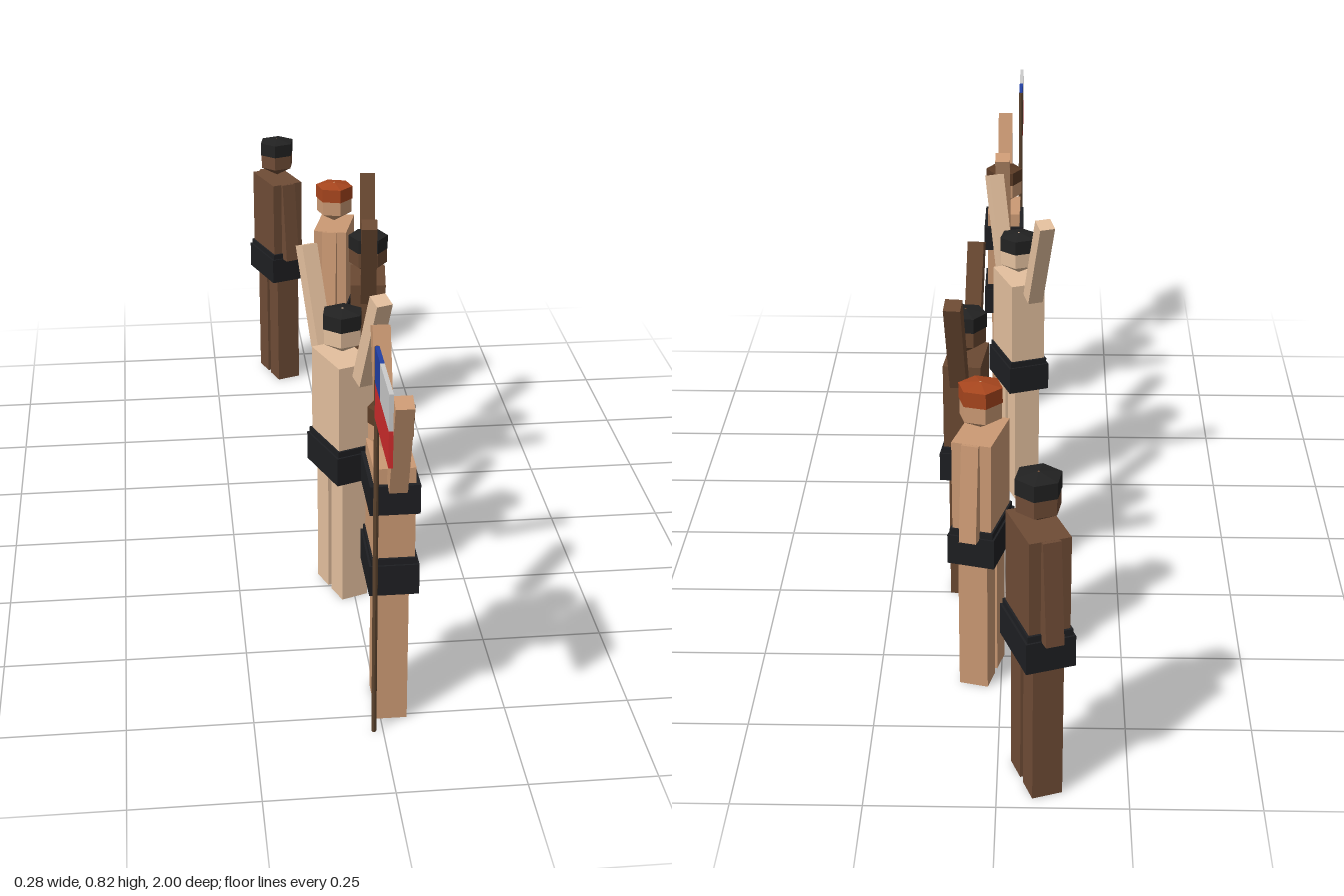
import * as THREE from 'three';

const mat = (color) => new THREE.MeshStandardMaterial({ color, flatShading: true });
const DARK = mat(0x1e1f22);

function add(parent, name, geometry, material, x = 0, y = 0, z = 0) {
  const mesh = new THREE.Mesh(geometry, material);
  mesh.name = name;
  mesh.position.set(x, y, z);
  parent.add(mesh);
  return mesh;
}

// Box given by depth (x), width (z) and its bottom and top heights
function slab(parent, name, material, depth, width, y0, y1, z = 0, x = 0) {
  return add(parent, name, new THREE.BoxGeometry(depth, y1 - y0, width), material, x, (y0 + y1) / 2, z);
}

// One blocky figure, shoulders along its local z axis
function makeFigure({ name, x, z, turn, skin, hair, armsUp, chestBand }) {
  const figure = new THREE.Group();
  figure.name = name;
  figure.position.set(x, 0, z);
  figure.rotation.y = THREE.MathUtils.degToRad(turn);
  const skinMat = mat(skin);

  slab(figure, 'torso', skinMat, 0.08, 0.13, 0.3, 0.558);
  slab(figure, 'shorts', DARK, 0.096, 0.148, 0.291, 0.355);
  slab(figure, 'waistband', DARK, 0.088, 0.14, 0.355, 0.368);
  if (chestBand) slab(figure, 'chestBand', DARK, 0.096, 0.148, 0.465, 0.526);

  for (const side of [-1, 1]) {
    slab(figure, 'leg', skinMat, 0.06, 0.053, 0, 0.3, side * 0.0345);
    // Arms are either raised outward or hanging with a slight flare
    const length = armsUp ? 0.22 : 0.205;
    const arm = add(figure, 'arm', new THREE.BoxGeometry(0.035, length, 0.035), skinMat,
      0, armsUp ? 0.642 : 0.455, side * (armsUp ? 0.135 : 0.067));
    arm.rotation.x = side * THREE.MathUtils.degToRad(armsUp ? 20 : -6);
  }

  // Six-sided head with a flat cap of hair
  add(figure, 'head', new THREE.SphereGeometry(0.05, 6, 3), skinMat, 0, 0.615, 0);
  const profile = [[0, 0.624], [0.045, 0.624], [0.045, 0.656], [0, 0.664]]
    .map(([r, y]) => new THREE.Vector2(r, y));
  add(figure, 'hair', new THREE.LatheGeometry(profile, 6, Math.PI / 6), mat(hair));
  return figure;
}

export function createModel() {
  const model = new THREE.Group();
  model.name = 'figuresWithFlag';

  const figures = [
    { name: 'flagBearer', x: 0.022, z: 0.70, turn: 0, skin: 0xcc9a74, hair: 0x5c3c26, armsUp: true, chestBand: true },
    { name: 'secondFigure', x: -0.022, z: 0.243, turn: 20.5, skin: 0xe4c09e, hair: 0x222222, armsUp: true },
    { name: 'thirdFigure', x: 0.083, z: -0.195, turn: -6, skin: 0x6b4932, hair: 0x222222, armsUp: true },
    { name: 'fourthFigure', x: 0.04, z: -0.545, turn: -15, skin: 0xcc9a74, hair: 0xa8461e, armsUp: false },
    { name: 'fifthFigure', x: -0.075, z: -0.905, turn: 20, skin: 0x6f4c36, hair: 0x222222, armsUp: false },
  ];
  for (const f of figures) model.add(makeFigure(f));

  // Flag and its pole
  const flag = new THREE.Group();
  flag.name = 'flag';
  flag.position.x = -0.018;
  add(flag, 'flagPole', new THREE.CylinderGeometry(0.005, 0.005, 0.823, 8), mat(0x5c432e), 0, 0.4115, 0.8);
  slab(flag, 'blueField', mat(0x2240a4), 0.008, 0.075, 0.754, 0.824, 0.8375);
  slab(flag, 'whiteStripe', mat(0xcccccc), 0.008, 0.125, 0.754, 0.824, 0.9375);
  slab(flag, 'redStripe', mat(0xd02c2c), 0.008, 0.2, 0.683, 0.754, 0.9);
  model.add(flag);

  return model;
}
